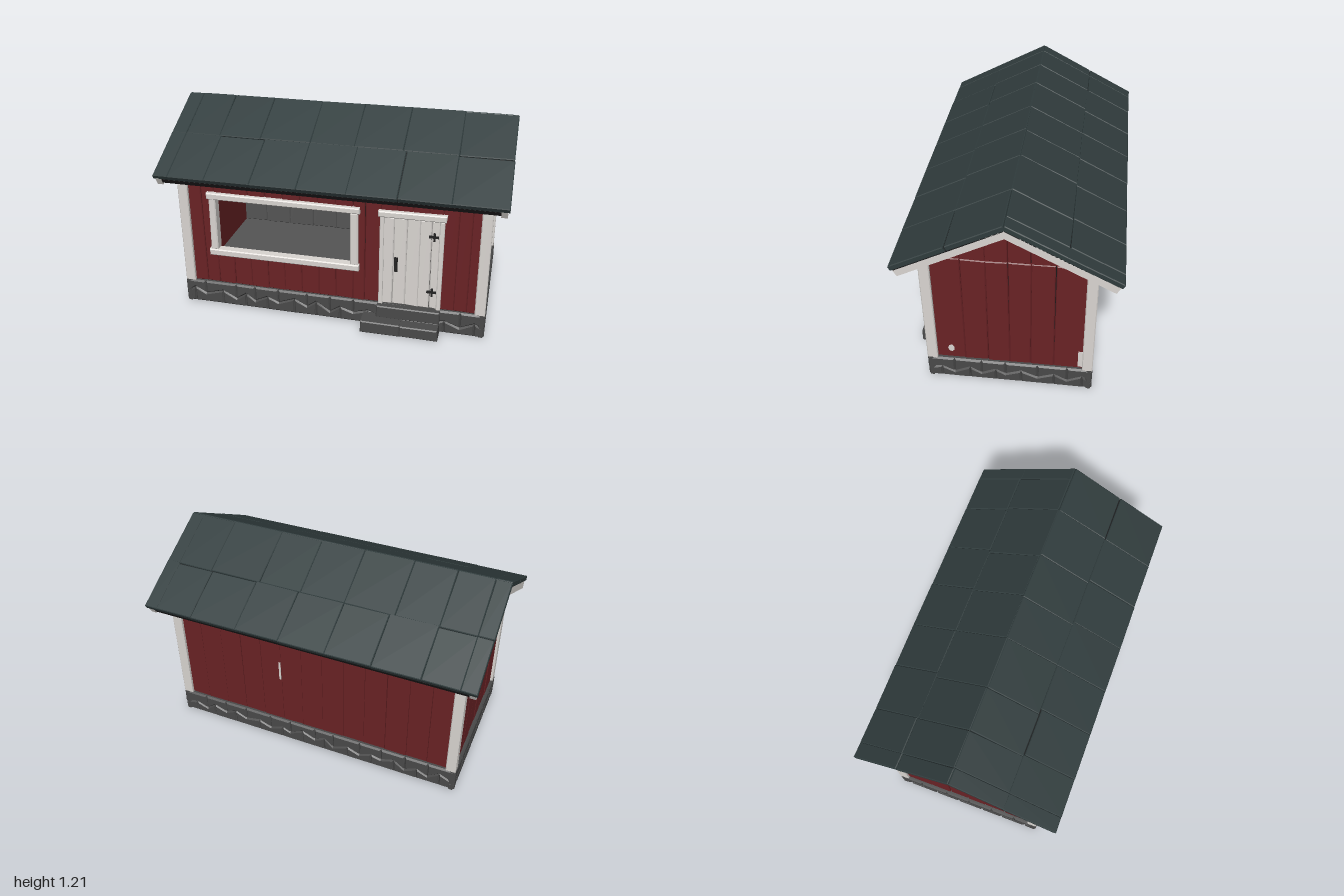
import * as THREE from 'three';
import { mergeGeometries } from 'three/addons/utils/BufferGeometryUtils.js';

const mat = (name, color) => {
  const m = new THREE.MeshStandardMaterial({ color });
  m.name = name;
  return m;
};

export function createModel() {
  const model = new THREE.Group();
  model.name = 'cabin';
  const red = mat('barn red', 0x6a2225), white = mat('trim white', 0xdad6d2);
  const stone = mat('stone grey', 0x4a4a4a), mortar = mat('mortar', 0x282828);
  const slate = mat('roof slate', 0x303c3d), gap = mat('dark gap', 0x1a1819);
  const grey = mat('interior grey', 0x555555), iron = mat('iron', 0x222222);

  let seed = 7;
  const rand = () => (seed = (seed * 16807) % 2147483647) / 2147483647;
  const jit = (a) => (rand() - 0.5) * 2 * a;

  const add = (name, geos, material, parent = model) => {
    const mesh = new THREE.Mesh(geos.length > 1 ? mergeGeometries(geos) : geos[0], material);
    mesh.name = name;
    parent.add(mesh);
    return mesh;
  };
  // box from its limits
  const box = (x0, x1, y0, y1, z0, z1) =>
    new THREE.BoxGeometry(x1 - x0, y1 - y0, z1 - z0).translate((x0 + x1) / 2, (y0 + y1) / 2, (z0 + z1) / 2);
  // bevelled slab from an outline, its outer face at z1
  const slab = (pts, z0, z1, b = 0.006, wobble = 0.003) => {
    const shape = new THREE.Shape(pts.map(([x, y]) => new THREE.Vector2(x + jit(wobble), y + jit(wobble))));
    return new THREE.ExtrudeGeometry(shape, {
      depth: z1 - z0 - 2 * b, bevelThickness: b, bevelSize: b, bevelOffset: -b, bevelSegments: 1,
    }).translate(0, 0, z0 + b);
  };
  const rect = (x0, x1, y0, y1) => [[x0, y0], [x1, y0], [x1, y1], [x0, y1]];
  const planks = (edges, y0, y1, z0, z1) =>
    edges.slice(1).map((e, i) => slab(rect(edges[i], e, y0, y1), z0, z1 + jit(0.002), 0.005));
  const steps = (a, b, n) => Array.from({ length: n + 1 }, (_, i) => a + ((b - a) * i) / n);

  // ---- stone foundation: two interlocking rows on each side
  const H = 0.147;
  add('foundationCore', [box(-0.9, 0.9, 0, 0.14, -0.45, 0.45)], mortar);
  const stoneFace = (half, n, dist, angle) => {
    const top = steps(-half, half, n).map((t, i) => (i % n ? t + jit(0.025) : t));
    const low = top.map(() => 0.055 + jit(0.012)), high = top.map(() => 0.088 + jit(0.012));
    const mid = top.slice(1).map((t, i) => (t + top[i]) / 2 + jit(0.015));
    const geos = [];
    for (let i = 0; i < n; i++) {
      geos.push([[top[i], low[i]], [mid[i], high[i]], [top[i + 1], low[i + 1]], [top[i + 1], H], [top[i], H]]);
      if (i) geos.push([[mid[i - 1], 0.001], [mid[i], 0.001], [mid[i], high[i]], [top[i], low[i]], [mid[i - 1], high[i - 1]]]);
    }
    geos.push([[-half, 0.001], [mid[0], 0.001], [mid[0], high[0]], [-half, low[0]]]);
    geos.push([[mid[n - 1], 0.001], [half, 0.001], [half, low[n]], [mid[n - 1], high[n - 1]]]);
    const mesh = add('foundationStones', geos.map((p) => slab(p, dist - 0.04, dist, 0.01, 0.001)), stone);
    mesh.rotation.y = angle;
  };
  stoneFace(0.92, 12, 0.47, 0);
  stoneFace(0.92, 12, 0.47, Math.PI);
  stoneFace(0.47, 6, 0.92, Math.PI / 2);
  stoneFace(0.47, 6, 0.92, -Math.PI / 2);
  add('doorSteps', [slab(rect(0.29, 0.66, 0.07, 0.147), 0.4, 0.5), slab(rect(0.29, 0.66, 0, 0.075), 0.4, 0.5),
    slab(rect(0.21, 0.44, 0, 0.073), 0.4, 0.57), slab(rect(0.44, 0.66, 0, 0.073), 0.4, 0.57)], stone);

  // ---- front wall, with an opening for the window
  const Y0 = 0.145, Y1 = 0.9, WX0 = -0.7, WX1 = 0.14, WY0 = 0.37, WY1 = 0.72;
  add('frontWallCore', [box(-0.88, WX0, Y0, Y1, 0.41, 0.435), box(WX1, 0.88, Y0, Y1, 0.41, 0.435),
    box(WX0, WX1, Y0, WY0, 0.41, 0.435), box(WX0, WX1, WY1, Y1, 0.41, 0.435)], gap);
  const winEdges = steps(WX0, WX1, 8);
  add('frontPlanks', [
    ...planks([-0.87, -0.78, WX0], Y0, Y1, 0.425, 0.45),
    ...planks(winEdges, Y0, WY0, 0.425, 0.45),
    ...planks(winEdges, WY1, Y1, 0.425, 0.45),
    ...planks([WX1, 0.21, 0.3], Y0, Y1, 0.425, 0.45),
    ...planks([0.3, 0.39, 0.48, 0.57, 0.65], 0.72, Y1, 0.425, 0.45),
    ...planks([0.65, 0.735, 0.81, 0.87], Y0, Y1, 0.425, 0.45),
  ], red);

  // ---- back wall
  add('backWallCore', [box(-0.88, 0.88, Y0, Y1, -0.435, -0.41)], gap);
  add('backPlanks', planks(steps(-0.87, 0.87, 13), Y0, Y1, 0.425, 0.45), red).rotation.y = Math.PI;

  // ---- gable walls
  const roofY = (z) => 1.15 - 0.533 * Math.abs(z);
  const gableEdges = [-0.42, -0.25, -0.12, 0, 0.12, 0.25, 0.42];
  for (const side of [1, -1]) {
    const g = new THREE.Group();
    g.name = 'gableWall';
    g.rotation.y = (side * Math.PI) / 2;
    model.add(g);
    add('gableCore', [slab([[-0.43, Y0], [0.43, Y0], [0.43, 0.9], [0, 1.14], [-0.43, 0.9]], 0.86, 0.885, 0.002, 0)], gap, g);
    const upper = gableEdges.slice(1).map((e, i) => {
      const a = gableEdges[i];
      return slab([[a, 0.89], [e, 0.89], [e, roofY(e)], [a, roofY(a)]], 0.875, 0.9, 0.004, 0.002);
    });
    add('gablePlanks', [...planks(gableEdges, Y0, 0.887, 0.875, 0.9), ...upper], red, g);
  }

  // ---- worn paint
  const chip = new THREE.CylinderGeometry(0.021, 0.021, 0.004, 7).rotateZ(Math.PI / 2).scale(1, 1.2, 0.9);
  add('wornPaint', [chip.translate(0.902, 0.22, 0.33), box(0.9, 0.904, 0.16, 0.28, -0.41, -0.385),
    box(0.2, 0.212, 0.47, 0.6, -0.454, -0.45)], white);

  // ---- interior
  add('floor', [box(-0.87, 0.87, 0.14, 0.16, -0.41, 0.41)], grey);
  add('innerBackWall', planks(steps(-0.86, 0.86, 10), 0.16, 0.9, -0.415, -0.4), grey);
  add('innerEndWall', [box(0.845, 0.86, 0.16, 0.9, -0.41, 0.41)], grey);
  add('innerRedWall', [box(-0.86, -0.845, 0.16, 0.9, -0.41, 0.41)], red);

  // ---- corner posts
  for (const sx of [1, -1]) for (const sz of [1, -1]) {
    const post = add('cornerPost', [slab(rect(-0.03, 0.03, Y0, 0.905), -0.03, 0.03, 0.005, 0)], white);
    post.position.set(sx * 0.887, 0, sz * 0.44);
  }

  // ---- window frame
  add('windowFrame', [
    slab(rect(-0.74, 0.18, 0.712, 0.752), 0.42, 0.478), slab(rect(-0.74, 0.18, 0.345, 0.385), 0.42, 0.478),
    slab(rect(-0.73, -0.688, 0.38, 0.715), 0.41, 0.47), slab(rect(0.127, 0.17, 0.38, 0.715), 0.41, 0.47),
  ], white);

  // ---- door
  add('doorFrame', [slab(rect(0.285, 0.67, 0.712, 0.752), 0.42, 0.478),
    slab(rect(0.295, 0.318, Y0, 0.715), 0.42, 0.468, 0.004), slab(rect(0.635, 0.658, Y0, 0.715), 0.42, 0.468, 0.004)], white);
  add('doorPlanks', planks([0.318, 0.375, 0.45, 0.525, 0.59, 0.635], 0.15, 0.71, 0.43, 0.457), white);
  add('doorHandle', [box(0.383, 0.403, 0.37, 0.46, 0.455, 0.463), box(0.388, 0.398, 0.38, 0.45, 0.474, 0.482),
    box(0.388, 0.398, 0.38, 0.39, 0.46, 0.48), box(0.388, 0.398, 0.44, 0.45, 0.46, 0.48)], iron);
  add('hinges', [0.26, 0.615].flatMap((y) => [box(0.575, 0.63, y - 0.007, y + 0.007, 0.455, 0.464),
    box(0.6, 0.612, y - 0.025, y + 0.025, 0.455, 0.468)]), iron);

  // ---- roof: each slope is laid flat (x along, y up the slope, z outward), then tilted
  const tilt = Math.atan(0.533), L = 0.68;
  const slopes = [
    { turn: 0, split: 0.34, low: [-1, -0.91, -0.69, -0.42, -0.15, 0.13, 0.41, 0.7, 1], high: [-1, -0.91, -0.7, -0.45, -0.15, 0.11, 0.39, 0.7, 1] },
    { turn: Math.PI, split: 0.32, low: [-1, -0.92, -0.69, -0.4, -0.13, 0.15, 0.42, 0.7, 0.91, 1], high: [-1, -0.92, -0.7, -0.38, -0.12, 0.15, 0.45, 0.7, 0.91, 1] },
  ];
  for (const s of slopes) {
    const half = new THREE.Group(), slope = new THREE.Group();
    half.name = 'roofHalf';
    slope.name = 'roofSlope';
    half.rotation.y = s.turn;
    slope.position.set(0, 0.855, 0.581);
    slope.rotation.x = tilt - Math.PI / 2;
    half.add(slope);
    model.add(half);
    add('roofUnderlay', [box(-0.99, 0.99, 0.006, 0.672, 0, 0.03), box(-0.955, 0.955, 0.005, 0.035, -0.025, 0.002)], gap, slope);
    const row = (edges, y0, y1) => edges.slice(1).map((e, i) => {
      const d = jit(0.006);
      return slab([[edges[i], y0], [e, y0], [e, y1 + d], [edges[i], y1 + d]], 0.008, 0.04 + jit(0.001), 0.004, 0.002);
    });
    add('roofTiles', [...row(s.low, 0, s.split), ...row(s.high, s.split, L)], slate, slope);
    add('bargeBoards', [box(0.955, 0.99, 0.004, 0.66, -0.04, 0.006), box(-0.99, -0.955, 0.004, 0.66, -0.04, 0.006)], white, slope);
  }
  return model;
}
